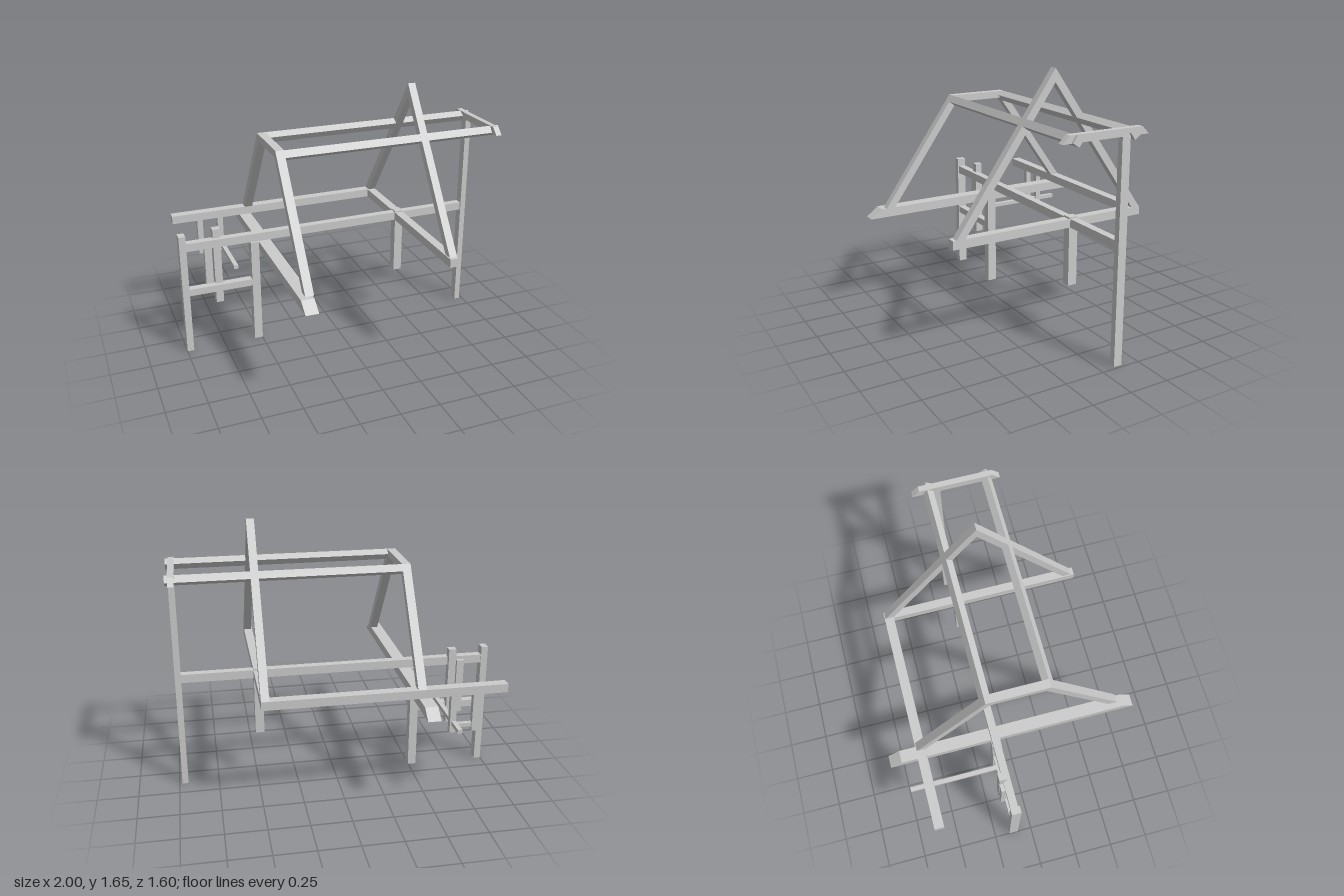
import * as THREE from 'three';

const RIDGE_Z = 0.02, OUTER_Y = 1.653, INNER_Y = 1.573, RUN = 0.703;

export function createModel() {
  const model = new THREE.Group();
  model.name = 'timberFrame';
  const material = new THREE.MeshStandardMaterial({ color: 0xcccccc, flatShading: true });

  const add = (name, geometry) => {
    const mesh = new THREE.Mesh(geometry, material);
    mesh.name = name;
    model.add(mesh);
    return mesh;
  };

  // Square timber given by its limits on each axis
  const beam = (name, [x0, x1], [y0, y1], [z0, z1]) =>
    add(name, new THREE.BoxGeometry(x1 - x0, y1 - y0, z1 - z0))
      .position.set((x0 + x1) / 2, (y0 + y1) / 2, (z0 + z1) / 2);

  // Timber with a [z, y] outline, running from x0 to x1
  const prism = (name, [x0, x1], outline) => {
    const shape = new THREE.Shape(outline.map(([z, y]) => new THREE.Vector2(-z, y)));
    const geometry = new THREE.ExtrudeGeometry(shape, { depth: x1 - x0, bevelEnabled: false });
    geometry.rotateY(Math.PI / 2).translate(x0, 0, 0);
    return add(name, geometry);
  };

  // Height on a roof face to its z, side is 1 for front and -1 for back
  const roofZ = (side, faceY, y) => RIDGE_Z + side * (faceY - y) * RUN;

  // Sloping rafter cut level at the foot, and level or plumb at the head
  const rafter = (name, x, side, foot, head) => {
    const outerHead = head ?? OUTER_Y, innerHead = head ?? INNER_Y;
    prism(name, x, [
      [roofZ(side, OUTER_Y, foot), foot],
      [roofZ(side, OUTER_Y, outerHead), outerHead],
      [roofZ(side, INNER_Y, innerHead), innerHead],
      [roofZ(side, INNER_Y, foot), foot],
    ]);
  };

  // Posts
  const wallZ = [-0.152, -0.092];
  beam('outerPost', [-1, -0.957], [0, 0.803], wallZ);
  beam('innerPost', [-0.55, -0.497], [0, 0.693], wallZ);
  beam('shortPost', [0.45, 0.505], [0.325, 0.76], wallZ);
  beam('tallPost', [0.945, 0.982], [0, 1.34], [-0.143, -0.09]);

  // Long wall beam, lower rail and back plate
  beam('wallBeam', [-0.957, 0.945], [0.697, 0.75], [-0.147, -0.099]);
  beam('lowerRail', [-0.957, -0.55], [0.39, 0.435], [-0.147, -0.099]);
  beam('backPlate', [-0.955, 0.505], [0.697, 0.75], [-0.62, -0.56]);

  // Tie beams
  prism('rightTieBeam', [-0.495, -0.417], [[0.8, 0.635], [0.725, 0.692], [-0.725, 0.692], [-0.8, 0.635]]);
  beam('leftTieBeam', [0.45, 0.505], [0.697, 0.75], [-0.617, 0.676]);

  // Hipped truss and pointed truss
  const hipX = [-0.46, -0.408], gableX = [0.457, 0.505];
  rafter('hipFrontRafter', hipX, 1, 0.692, 1.384);
  rafter('hipBackRafter', hipX, -1, 0.75, 1.384);
  const collarEnds = [1, -1].flatMap((s) => {
    const ends = [1.34, 1.384].map((y) => [roofZ(s, INNER_Y, y), y]);
    return s > 0 ? ends : ends.reverse();
  });
  prism('hipCollar', hipX, collarEnds);
  rafter('gableFrontRafter', gableX, 1, 0.75);
  rafter('gableBackRafter', gableX, -1, 0.75);

  // End collar with sloped tips
  prism('endCollar', [0.945, 0.982], [[0.29, 1.34], [0.245, 1.384], [-0.22, 1.384], [-0.265, 1.34]]);

  // Purlins turned to the roof slope
  for (const side of [1, -1]) {
    const purlin = add(side > 0 ? 'frontPurlin' : 'backPurlin', new THREE.BoxGeometry(1.408, 0.047, 0.046));
    purlin.position.set(0.296, 1.351, RIDGE_Z + side * 0.184);
    purlin.rotation.x = -side * Math.atan(RUN);
  }

  // Boards behind the wall beam
  beam('shortBoard', [-0.837, -0.79], [0.37, 0.73], [-0.172, -0.14]);
  beam('longBoard', [-0.783, -0.735], [0.3, 0.808], [-0.172, -0.125]);

  // Hangers under the back plate with their crossbar and long rod
  beam('innerHanger', [-0.652, -0.615], [0.45, 0.697], [-0.6, -0.565]);
  beam('outerHanger', [-0.79, -0.753], [0.45, 0.697], [-0.6, -0.565]);
  beam('hangerCrossbar', [-0.753, -0.652], [0.478, 0.503], [-0.595, -0.57]);
  beam('hangerRod', [-0.652, -0.624], [0.501, 0.526], [-0.717, -0.15]);

  return model;
}
